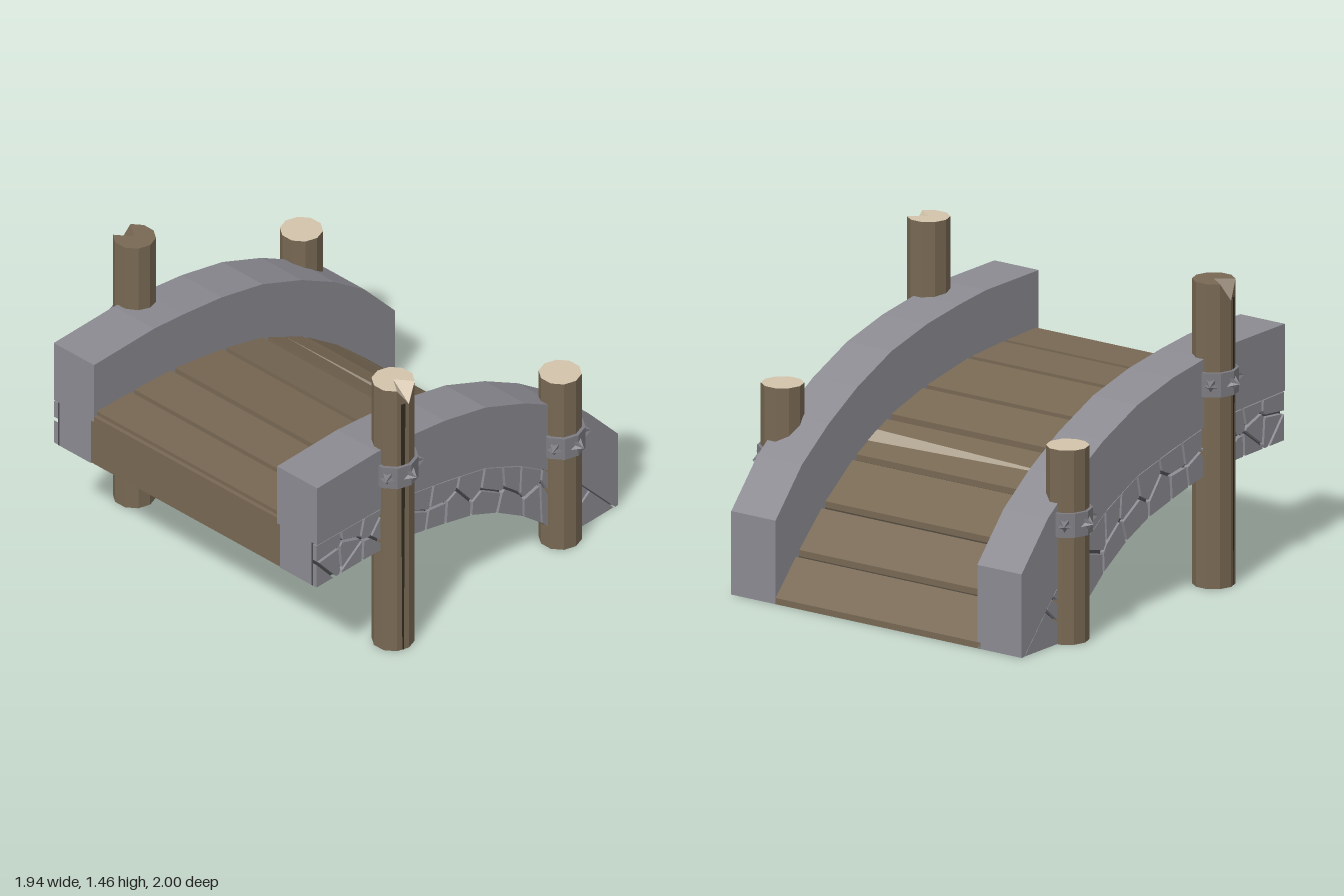
import * as THREE from 'three';

const paint = (name, color) => {
  const m = new THREE.MeshStandardMaterial({ color });
  m.name = name;
  return m;
};

// Side-on curves of the bridge as [z, y], from the crown (front) to the foot (back)
const TOP = [[1, 1.12], [0.6, 1.12], [0.4, 1.1], [0.15, 1.065], [-0.12, 1.0], [-0.38, 0.89], [-0.6, 0.765], [-0.8, 0.62], [-1, 0.4]];
const MID = [[1, 0.8], [0.6, 0.79], [0.38, 0.77], [0.13, 0.72], [-0.12, 0.66], [-0.34, 0.56], [-0.54, 0.43], [-0.74, 0.26], [-0.98, 0]];
const LOW = [[1, 0.56], [0.6, 0.555], [0.4, 0.54], [0.18, 0.49], [-0.1, 0.42], [-0.33, 0.29], [-0.5, 0.15], [-0.58, 0.07], [-0.65, 0]];
const DECK = [[1, 0.85], [0.6, 0.84], [0.38, 0.82], [0.13, 0.77], [-0.12, 0.7], [-0.34, 0.6], [-0.54, 0.47], [-0.74, 0.3], [-1, 0.03]];

const lerp = THREE.MathUtils.lerp;

function deckY(z) {
  let i = 1;
  while (i < DECK.length - 1 && DECK[i][0] > z) i++;
  const [a, b] = [DECK[i - 1], DECK[i]];
  return lerp(a[1], b[1], (a[0] - z) / (a[0] - b[0]));
}

// Flat-sided copy of a geometry, keeping its material groups
function facet(geo) {
  const g = geo.index ? geo.toNonIndexed() : geo;
  g.computeVertexNormals();
  return g;
}

// Side profile [z, y] extruded across x
function slab(points, x0, x1) {
  const shape = new THREE.Shape(points.map(([z, y]) => new THREE.Vector2(z, y)));
  const g = new THREE.ExtrudeGeometry(shape, { depth: x1 - x0, bevelEnabled: false });
  return g.rotateY(-Math.PI / 2).translate(x1, 0, 0);
}

// Sheet that follows a side curve across the deck
function ribbon(points, halfWidth) {
  const g = new THREE.PlaneGeometry(2 * halfWidth, 1, 1, points.length - 1);
  const p = g.attributes.position;
  for (let i = 0; i < p.count; i++) {
    const [z, y] = points[i >> 1];
    p.setXYZ(i, p.getX(i), y, z);
  }
  return facet(g);
}

// Irregular stones: cells around jittered sites in an unrolled strip, then bent onto the arch
function stoneOutlines() {
  let seed = 11;
  const rand = () => (seed = (seed * 16807) % 2147483647) / 2147483647;
  const run = [0];
  for (let i = 1; i < MID.length; i++) run.push(run[i - 1] + Math.hypot(MID[i][0] - MID[i - 1][0], MID[i][1] - MID[i - 1][1]));
  const length = run[run.length - 1], height = 0.24, gap = 0.008;
  const sites = [];
  for (let s = 0.06, c = 0; s < length; s += 0.155, c++) {
    const rows = s < 0.5 ? 3 : s < 1.75 ? 2 : 1;
    for (let r = 0; r < rows; r++) {
      sites.push([s + ((r + c) % 2) * 0.05 + (rand() - 0.5) * 0.07, height * (r + 0.5 + (rand() - 0.5) * 0.55) / rows]);
    }
  }
  const bend = ([s, t]) => {
    let i = 1;
    while (i < run.length - 1 && run[i] < s) i++;
    const f = (s - run[i - 1]) / (run[i] - run[i - 1]), v = t / height;
    return [0, 1].map(k => lerp(lerp(LOW[i - 1][k], LOW[i][k], f), lerp(MID[i - 1][k], MID[i][k], f), v));
  };
  return sites.map(a => {
    let poly = [[0, 0.002], [length, 0.002], [length, height - 0.006], [0, height - 0.006]];
    for (const b of sites) {
      if (b === a) continue;
      const d = Math.hypot(b[0] - a[0], b[1] - a[1]);
      const n = [(b[0] - a[0]) / d, (b[1] - a[1]) / d];
      const side = q => (q[0] - a[0]) * n[0] + (q[1] - a[1]) * n[1] - d / 2 + gap;
      const next = [];
      poly.forEach((q, i) => {
        const w = poly[(i + 1) % poly.length], sq = side(q), sw = side(w);
        if (sq <= 0) next.push(q);
        if ((sq < 0) !== (sw < 0)) next.push([lerp(q[0], w[0], sq / (sq - sw)), lerp(q[1], w[1], sq / (sq - sw))]);
      });
      poly = next;
    }
    return poly.map(bend);
  }).filter(p => p.length > 2);
}

// Five-pointed pyramid pointing along +z
function starStud() {
  const g = new THREE.ConeGeometry(0.04, 0.045, 10, 1);
  const p = g.attributes.position;
  for (let i = 0; i < p.count; i++) {
    const x = p.getX(i), z = p.getZ(i);
    const k = Math.round(Math.atan2(x, z) / (Math.PI / 5));
    if (Math.abs(k) % 2) p.setXYZ(i, x * 0.55, p.getY(i), z * 0.55);
  }
  return facet(g.rotateX(Math.PI / 2));
}

export function createModel() {
  const stone = paint('stone', 0x8b8a91);
  const mortar = paint('mortar', 0x4b4a4f);
  const wood = paint('wood', 0x776853);
  const darkWood = paint('darkWood', 0x40382d);
  const cutWood = paint('cutWood', 0xd3c3ab);
  const splitWood = paint('splitWood', 0xada18f);
  const iron = paint('iron', 0x7c7c82);
  const crackPaint = paint('crack', 0x30291f);

  const model = new THREE.Group();
  const add = (parent, name, geo, mat) => {
    const m = new THREE.Mesh(geo, mat);
    m.name = name;
    parent.add(m);
    return m;
  };

  // Stone side walls: coping, core, mortar face and raised stones
  const outlines = stoneOutlines();
  const coping = [...TOP, [-1, 0], ...[...MID].reverse()];
  const arch = [...MID, ...[...LOW].reverse()];
  for (const side of [1, -1]) {
    const wall = new THREE.Group();
    wall.name = side > 0 ? 'leftWall' : 'rightWall';
    model.add(wall);
    const layer = (name, pts, a, b, mat) => add(wall, name, side > 0 ? slab(pts, a, b) : slab(pts, -b, -a), mat);
    layer('coping', coping, 0.58, 0.835, stone);
    layer('archCore', arch, 0.6, 0.8, stone);
    layer('mortarFace', arch, 0.8, 0.808, mortar);
    for (const o of outlines) layer('facingStone', o, 0.808, 0.832, stone);
  }

  // Deck: dark sheets below, planks on top
  const deck = new THREE.Group();
  deck.name = 'deck';
  model.add(deck);
  add(deck, 'deckUnderside', ribbon(LOW, 0.6), darkWood);
  add(deck, 'deckBed', ribbon([...DECK].reverse().map(([z, y]) => [z, y - 0.03]), 0.6), darkWood);
  const planks = [[0.98, 0.755], [0.73, 0.49], [0.46, 0.15], [0.12, -0.12], [-0.155, -0.385], [-0.415, -0.62], [-0.65, -0.82], [-0.845, -1]];
  for (const [a, b] of planks) {
    const ya = deckY(a), yb = deckY(b);
    add(deck, 'plank', slab([[a, ya], [b, yb], [b, Math.max(0, yb - 0.045)], [a, ya - 0.045]], -0.6, 0.6), wood);
  }
  add(deck, 'frontBeam', new THREE.BoxGeometry(1.2, 0.265, 0.02).translate(0, 0.6975, 0.99), wood);

  // Long split widening across one plank
  const [pa, pb] = planks[4];
  const plankY = z => lerp(deckY(pa), deckY(pb), (pa - z) / (pa - pb)) + 0.004;
  const split = new THREE.BufferGeometry();
  split.setAttribute('position', new THREE.Float32BufferAttribute([
    -0.58, plankY(-0.265), -0.265, 0.58, plankY(-0.228), -0.228, 0.58, plankY(-0.3), -0.3], 3));
  split.computeVertexNormals();
  add(deck, 'plankSplit', split, splitWood);

  // Posts with studded iron bands
  const stud = starStud();
  for (const side of [1, -1]) {
    for (const [z, height, bandY] of [[0.48, 1.46, 0.98], [-0.63, 0.93, 0.575]]) {
      const post = new THREE.Group();
      post.name = 'post';
      post.position.set(side * 0.82, 0, z);
      model.add(post);
      const broken = height > 1;
      const g = new THREE.CylinderGeometry(0.1, 0.1, height, 10, 1, false, Math.PI / 2).translate(0, height / 2, 0);
      if (broken) {
        // Chip: lower the outermost rim corner
        const p = g.attributes.position;
        for (let i = 0; i < p.count; i++) {
          if (p.getX(i) * side > 0.098 && p.getY(i) > 1) p.setY(i, height - 0.09);
        }
        const crack = new THREE.ShapeGeometry(new THREE.Shape([
          new THREE.Vector2(-0.004, 0), new THREE.Vector2(0.004, 0), new THREE.Vector2(0.012, 1.38), new THREE.Vector2(-0.012, 1.38)]));
        add(post, 'crack', crack.translate(0, 0, 0.0965).rotateY(side * Math.PI * 0.4), crackPaint);
      }
      add(post, 'postWood', facet(g), [wood, broken && side < 0 ? wood : cutWood, wood]);
      add(post, 'band', facet(new THREE.CylinderGeometry(0.117, 0.117, 0.115, 10, 1, false, Math.PI / 2)), iron).position.y = bandY;
      for (const turn of [-1.05, 0, 1.05]) {
        const a = side * Math.PI / 2 + turn;
        const s = add(post, 'stud', stud, iron);
        s.position.set(Math.sin(a) * 0.128, bandY, Math.cos(a) * 0.128);
        s.rotation.y = a;
      }
    }
  }
  return model;
}
